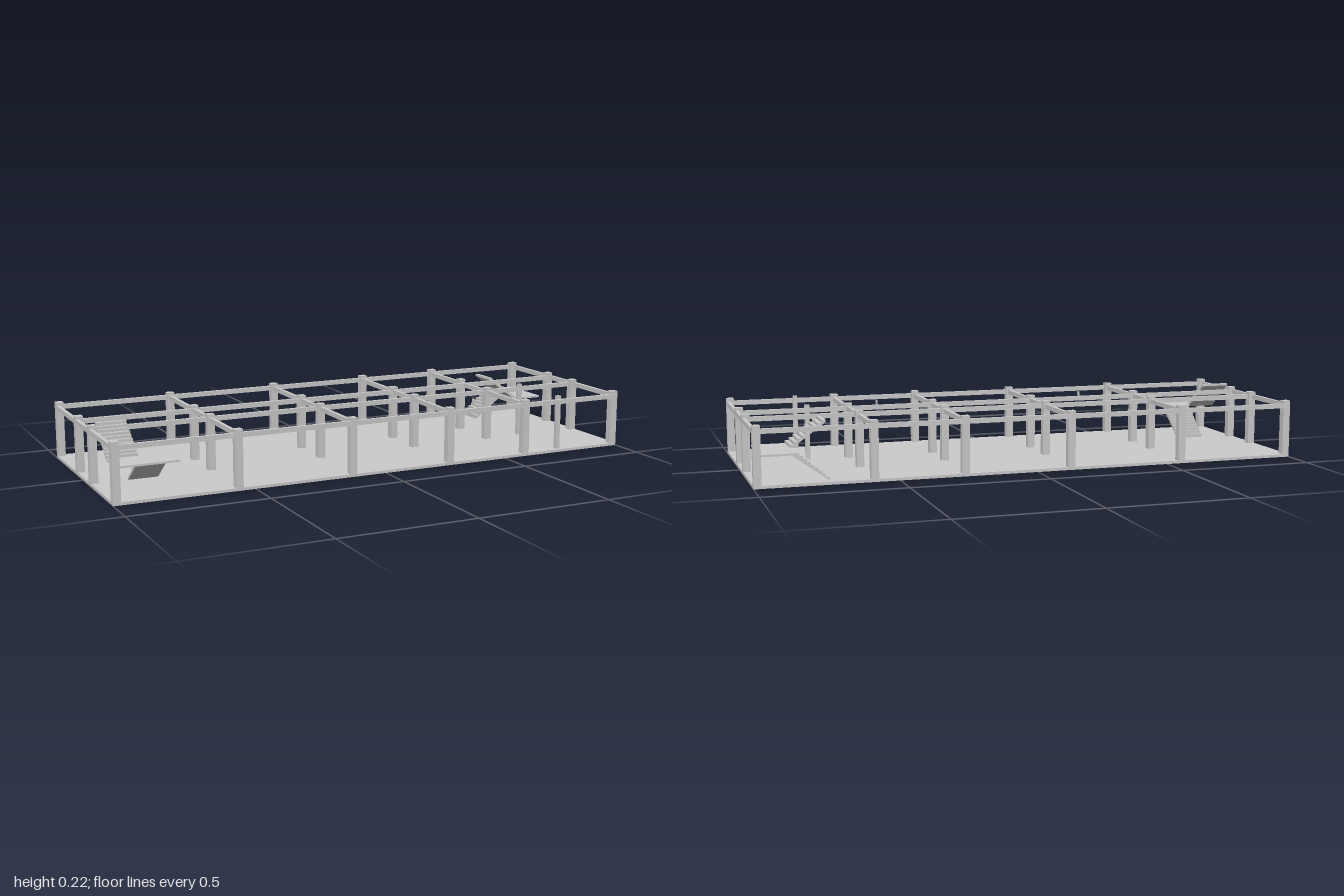
import * as THREE from 'three';

const material = new THREE.MeshStandardMaterial({ color: 0xcccccc, flatShading: true });

// Box given by its min and max along each axis
function box(name, x0, x1, y0, y1, z0, z1) {
  const mesh = new THREE.Mesh(new THREE.BoxGeometry(x1 - x0, y1 - y0, z1 - z0), material);
  mesh.position.set((x0 + x1) / 2, (y0 + y1) / 2, (z0 + z1) / 2);
  mesh.name = name;
  return mesh;
}

// Sawtooth flight climbing from (u0, y0) to (u1, y1), closed by a sloped underside
function flight(name, u0, y0, u1, y1, steps, under, width) {
  const shape = new THREE.Shape();
  const du = (u1 - u0) / steps, dy = (y1 - y0) / steps;
  shape.moveTo(u0, y0);
  for (let i = 0; i < steps; i++) {
    shape.lineTo(u0 + i * du, y0 + (i + 1) * dy);
    shape.lineTo(u0 + (i + 1) * du, y0 + (i + 1) * dy);
  }
  under.forEach(([u, y]) => shape.lineTo(u, y));
  shape.closePath();
  const geometry = new THREE.ExtrudeGeometry(shape, { depth: width, bevelEnabled: false });
  const mesh = new THREE.Mesh(geometry, material);
  mesh.name = name;
  return mesh;
}

export function createModel() {
  const model = new THREE.Group();
  model.name = 'buildingFrame';
  const halfZ = 0.368, colW = 0.027, colTop = 0.213;
  const beamLow = 0.185, beamTop = 0.202, beamW = 0.013;

  // Floor slab
  model.add(box('floorSlab', -1, 1, 0, 0.01, -halfZ, halfZ));

  // Columns on the grid; one inner column is shifted off its row
  const columns = new THREE.Group();
  columns.name = 'columns';
  const colX = [-0.9865, -0.558, -0.128, 0.265, 0.588, 0.9865];
  const colZ = [-0.3545, -0.0855, 0.0865, 0.3545];
  colX.forEach((x, i) => colZ.forEach((z, j) => {
    const cz = i === 4 && j === 1 ? -0.115 : z;
    columns.add(box('column', x - colW / 2, x + colW / 2, 0, colTop, cz - colW / 2, cz + colW / 2));
  }));
  for (const z of [0.079, 0.346]) {
    columns.add(box('slimColumn', 0.733, 0.749, 0, colTop, z - 0.008, z + 0.008));
  }
  model.add(columns);

  // Long beams, then cross beams
  const beams = new THREE.Group();
  beams.name = 'beams';
  for (const z of [-0.3615, -0.079, 0.079, 0.3615]) {
    beams.add(box('longBeam', -1, 1, beamLow, beamTop, z - beamW / 2, z + beamW / 2));
  }
  for (const x of [-0.9935, -0.558, -0.128, 0.265, 0.588, 0.9935]) {
    beams.add(box('crossBeam', x - beamW / 2, x + beamW / 2, beamLow, beamTop, -halfZ, halfZ));
  }
  // Small loose beam stubs in the front bays
  for (const x of [-0.375, 0.45]) {
    beams.add(box('beamStub', x - 0.002, x + 0.002, beamLow, beamTop, 0.205, 0.222));
  }
  model.add(beams);

  // Front staircase, running along z
  const frontStair = new THREE.Group();
  frontStair.name = 'frontStair';
  const lower = flight('lowerFlight', 0.1, 0.014, 0.228, 0.125, 11,
    [[0.243, 0.125], [0.243, 0.118], [0.1, 0.01]], 0.108);
  lower.rotation.y = -Math.PI / 2;
  lower.position.x = -0.76;
  const upper = flight('upperFlight', 0.23, 0.125, 0.1, 0.224, 10,
    [[0.1, 0.216], [0.228, 0.118]], 0.108);
  upper.rotation.y = -Math.PI / 2;
  upper.position.x = -0.87;
  frontStair.add(lower, upper,
    box('landing', -0.978, -0.76, 0.118, 0.125, 0.228, 0.345));
  model.add(frontStair);

  // Back staircase, running along x
  const backStair = new THREE.Group();
  backStair.name = 'backStair';
  const backLower = flight('lowerFlight', 0.74, 0.014, 0.855, 0.11, 9,
    [[0.868, 0.11], [0.868, 0.103], [0.74, 0.01]], 0.107);
  backLower.position.z = -0.345;
  const backUpper = flight('upperFlight', 0.856, 0.11, 0.73, 0.202, 9,
    [[0.73, 0.194], [0.855, 0.103]], 0.108);
  backUpper.position.z = -0.232;
  backStair.add(backLower, backUpper,
    box('landing', 0.855, 0.974, 0.103, 0.11, -0.345, -0.124));
  model.add(backStair);

  return model;
}
